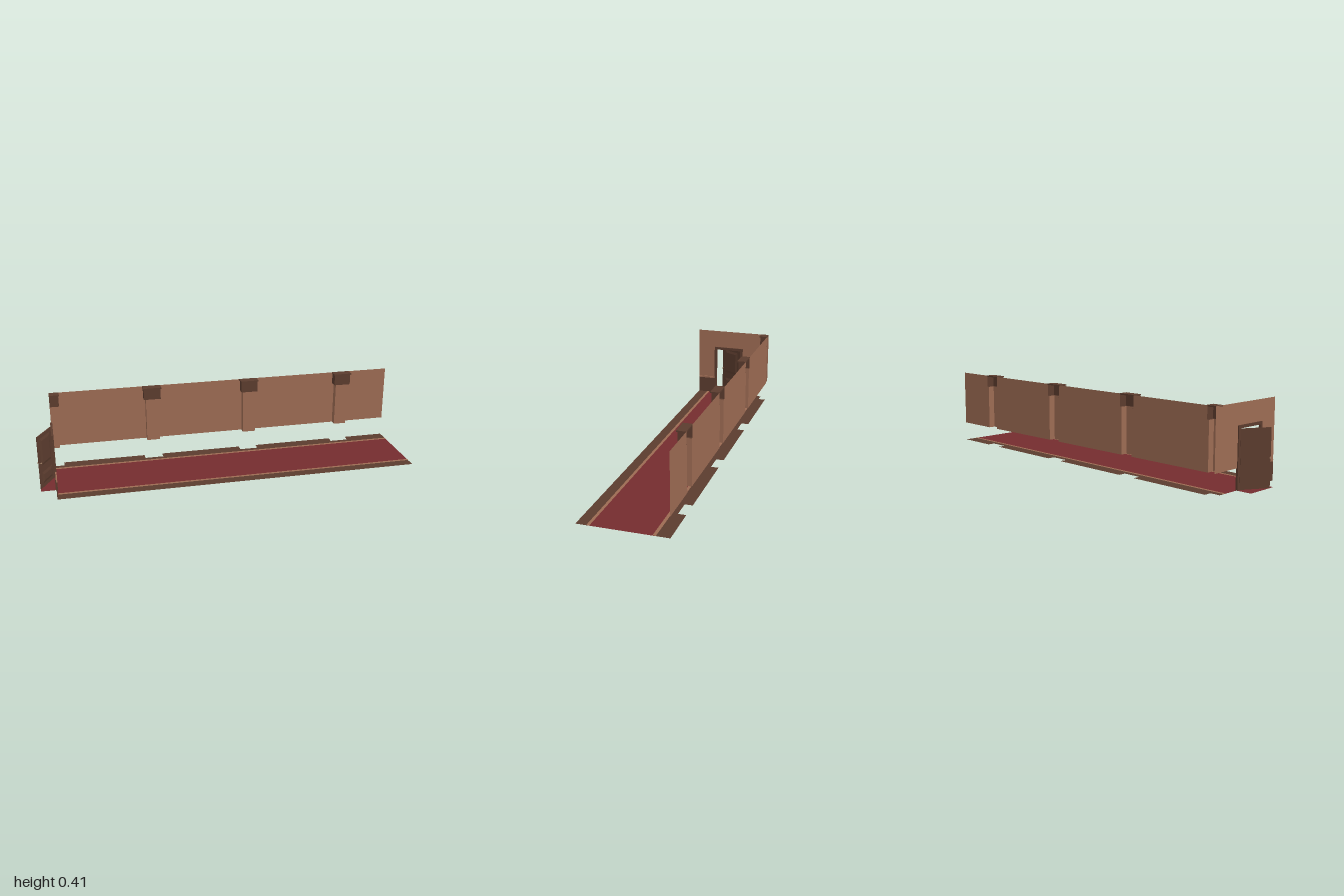
import * as THREE from 'three';

const mat = (name, color, side = THREE.DoubleSide) => {
  const m = new THREE.MeshStandardMaterial({ color, side });
  m.name = name;
  return m;
};

export function createModel() {
  const model = new THREE.Group();
  model.name = 'corridor';
  const plaster = mat('tan plaster', 0x9c6b53);
  const wood = mat('dark wood', 0x5b3c2e);
  const carpet = mat('red carpet', 0x742c2e);
  const edging = mat('carpet edging', 0x9c6b53, THREE.FrontSide);
  const metal = mat('door handle metal', 0xa8866a);

  const X0 = -0.92, X1 = 1, Z = 0.225, BASE = 0.105, TOP = 0.41, CAP = 0.345;

  const add = (name, geo, material, parent = model) => {
    const mesh = new THREE.Mesh(geo, material);
    mesh.name = name;
    parent.add(mesh);
    return mesh;
  };
  // Box given by its limits; keep lists faces in the order +x -x +y -y +z -z
  const box = (x0, x1, y0, y1, z0, z1, keep = [0, 1, 2, 3, 4, 5]) => {
    const g = new THREE.BoxGeometry(x1 - x0, y1 - y0, z1 - z0);
    const idx = Array.from(g.index.array);
    g.clearGroups();
    g.setIndex(keep.flatMap(f => idx.slice(f * 6, f * 6 + 6)));
    return g.translate((x0 + x1) / 2, (y0 + y1) / 2, (z0 + z1) / 2);
  };
  const polygon = pts => new THREE.ShapeGeometry(new THREE.Shape(pts.map(p => new THREE.Vector2(...p))));
  // Flat polygon on the ground from [x, z] points
  const ground = (pts, y) => polygon(pts.map(([x, z]) => [x, -z])).rotateX(-Math.PI / 2).translate(0, y, 0);
  const rect = (a0, a1, b0, b1) => [[a0, b0], [a1, b0], [a1, b1], [a0, b1]];

  // Pilaster spans along the back wall; the first is cut by the end wall
  const centres = [0, 1, 2, 3].map(i => -0.917 + i * 0.547);
  const span = (c, half) => [Math.max(X0, c - half), c + half];

  // Floor: carpet, threshold, edging and wooden borders
  add('carpet', ground(rect(X0, X1, -0.15, 0.165), 0), carpet);
  add('threshold', ground(rect(-1, X0, -0.06, 0.115), 0), carpet);
  add('frontBorder', ground(rect(X0, X1, 0.165, Z), 0), wood);
  const back = [[X1, -0.15], [X0, -0.15]];
  centres.forEach((c, i) => {
    const [a, b] = span(c, 0.05);
    if (i) back.push([a, -Z]);
    back.push([a, -0.185], [b, -0.185], [b, -Z]);
  });
  back.push([X1, -Z]);
  add('backBorder', ground(back, 0), wood);
  add('backEdging', ground(rect(X0, X1, -0.158, -0.142), 0.001), edging);
  add('frontEdging', ground(rect(X0, X1, 0.157, 0.172), 0.001), edging);

  // Back wall panels between the pilasters
  centres.forEach((c, i) => {
    const next = centres[i + 1];
    [[0.035, BASE, CAP], [0.046, CAP, TOP]].forEach(([half, y0, y1]) => {
      const end = next === undefined ? X1 : next - half;
      add('backWall', polygon(rect(c + half, end, y0, y1)).translate(0, 0, -Z), plaster);
    });
  });

  // Pilasters: hollow shaft, capital with a ledge below, and cap plate
  centres.forEach((c, i) => {
    const pilaster = new THREE.Group();
    pilaster.name = 'pilaster';
    model.add(pilaster);
    const sides = i ? [0, 1, 4] : [0, 4];
    const [s0, s1] = span(c, 0.035), [c0, c1] = span(c, 0.046), [p0, p1] = span(c, 0.05);
    add('shaft', box(s0, s1, BASE, CAP, -Z, -0.19, sides), plaster, pilaster);
    add('capital', box(c0, c1, CAP, 0.404, -Z, -0.183, sides), wood, pilaster);
    const ledge = [[c0, -Z], [s0, -Z], [s0, -0.19], [s1, -0.19], [s1, -Z], [c1, -Z], [c1, -0.183], [c0, -0.183]];
    add('capitalLedge', ground(ledge, CAP), wood, pilaster);
    add('capPlate', box(p0, p1, 0.404, TOP + 0.001, -Z, -0.177), wood, pilaster);
  });

  // End wall around the doorway, drawn in (z, y) and turned onto the x plane
  const endWall = polygon([
    [Z, 0.095], [Z, TOP], [-Z, TOP], [-Z, BASE], [-0.055, BASE],
    [-0.055, 0.298], [0.115, 0.298], [0.115, 0.095],
  ].map(([z, y]) => [-z, y])).rotateY(Math.PI / 2).translate(X0, 0, 0);
  add('endWall', endWall, plaster);
  add('wainscot', box(X0 - 0.001, X0 + 0.004, 0, 0.095, 0.115, Z), wood);
  add('wainscotRail', box(X0 - 0.001, X0 + 0.006, 0.095, BASE, 0.12, Z), plaster);

  // Door frame
  [[-0.061, -0.045], [0.107, 0.122]].forEach(([a, b]) =>
    add('doorJamb', box(X0 - 0.005, X0 + 0.006, 0, 0.305, a, b), wood));
  add('doorHead', box(X0 - 0.005, X0 + 0.006, 0.29, 0.305, -0.045, 0.107), wood);

  // Door leaf, standing open; its local x runs from the hinge to the latch
  const door = new THREE.Group();
  door.name = 'door';
  door.position.set(-0.924, 0, -0.045);
  door.rotation.y = Math.atan2(-0.133, -0.074);
  model.add(door);
  add('doorLeaf', box(0, 0.152, 0.001, 0.289, -0.002, 0.003), wood, door);
  // Raised panel with sloping edges on the corridor side
  const panel = (y0, y1) => {
    const w = 0.106, h = y1 - y0, d = 0.004, inset = 0.014;
    const g = new THREE.BoxGeometry(w, h, d).toNonIndexed();
    const p = g.attributes.position;
    for (let i = 0; i < p.count; i++) {
      if (p.getZ(i) < 0) {
        p.setX(i, p.getX(i) - Math.sign(p.getX(i)) * inset);
        p.setY(i, p.getY(i) - Math.sign(p.getY(i)) * inset);
      }
    }
    g.computeVertexNormals();
    add('doorPanel', g.translate(0.077, (y0 + y1) / 2, -0.004), wood, door);
  };
  panel(0.022, 0.084);
  panel(0.122, 0.27);
  // Handles on both faces
  [-1, 1].forEach(s => {
    const stem = new THREE.CylinderGeometry(0.0015, 0.0015, 0.008, 8).rotateX(Math.PI / 2);
    add('handleStem', stem.translate(0.146, 0.145, s * 0.005), metal, door);
    add('handleKnob', new THREE.SphereGeometry(0.0035, 10, 8).translate(0.146, 0.145, s * 0.01), metal, door);
  });

  return model;
}
